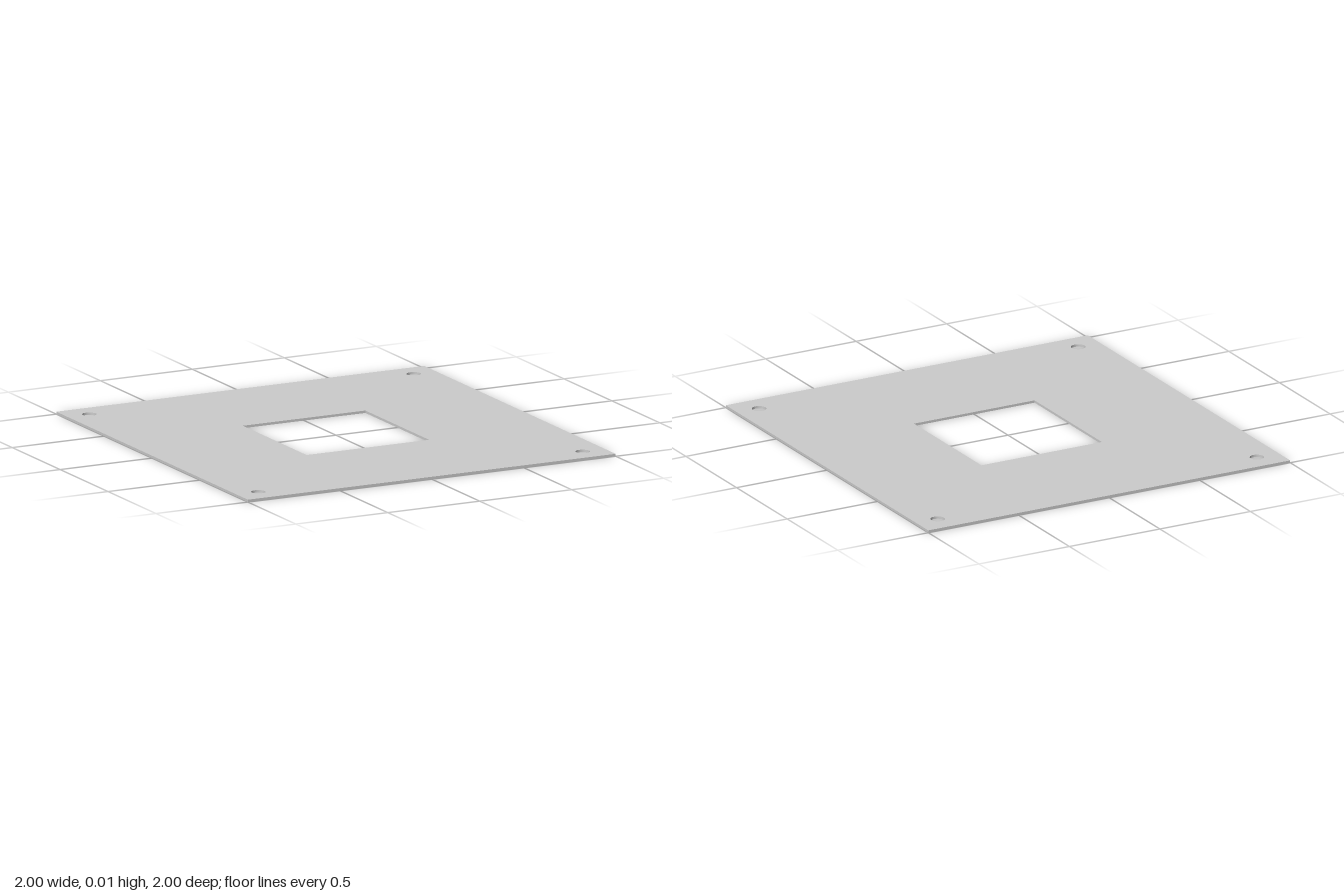
import * as THREE from 'three';

const HALF = 1, THICKNESS = 0.012;
const WINDOW_HALF = 0.333;
const HOLE_OFFSET = 0.882, HOLE_RADIUS = 0.035;

// Closed square outline centred on the origin
function square(PathType, h) {
  return new PathType([[-h, -h], [h, -h], [h, h], [-h, h]].map(([x, y]) => new THREE.Vector2(x, y))).closePath();
}

export function createModel() {
  const group = new THREE.Group();
  group.name = 'mountingPlate';

  // Square sheet with a central window
  const outline = square(THREE.Shape, HALF);
  outline.holes.push(square(THREE.Path, WINDOW_HALF));

  // Round screw hole near each corner
  for (const x of [-HOLE_OFFSET, HOLE_OFFSET]) {
    for (const y of [-HOLE_OFFSET, HOLE_OFFSET]) {
      outline.holes.push(new THREE.Path().absarc(x, y, HOLE_RADIUS, 0, Math.PI * 2, true));
    }
  }

  // Extrude and lay flat on the ground
  const geometry = new THREE.ExtrudeGeometry(outline, { depth: THICKNESS, bevelEnabled: false, curveSegments: 32 });
  geometry.rotateX(-Math.PI / 2);
  const plate = new THREE.Mesh(geometry, new THREE.MeshStandardMaterial({ color: 0xcccccc }));
  plate.name = 'plate';
  group.add(plate);
  return group;
}
